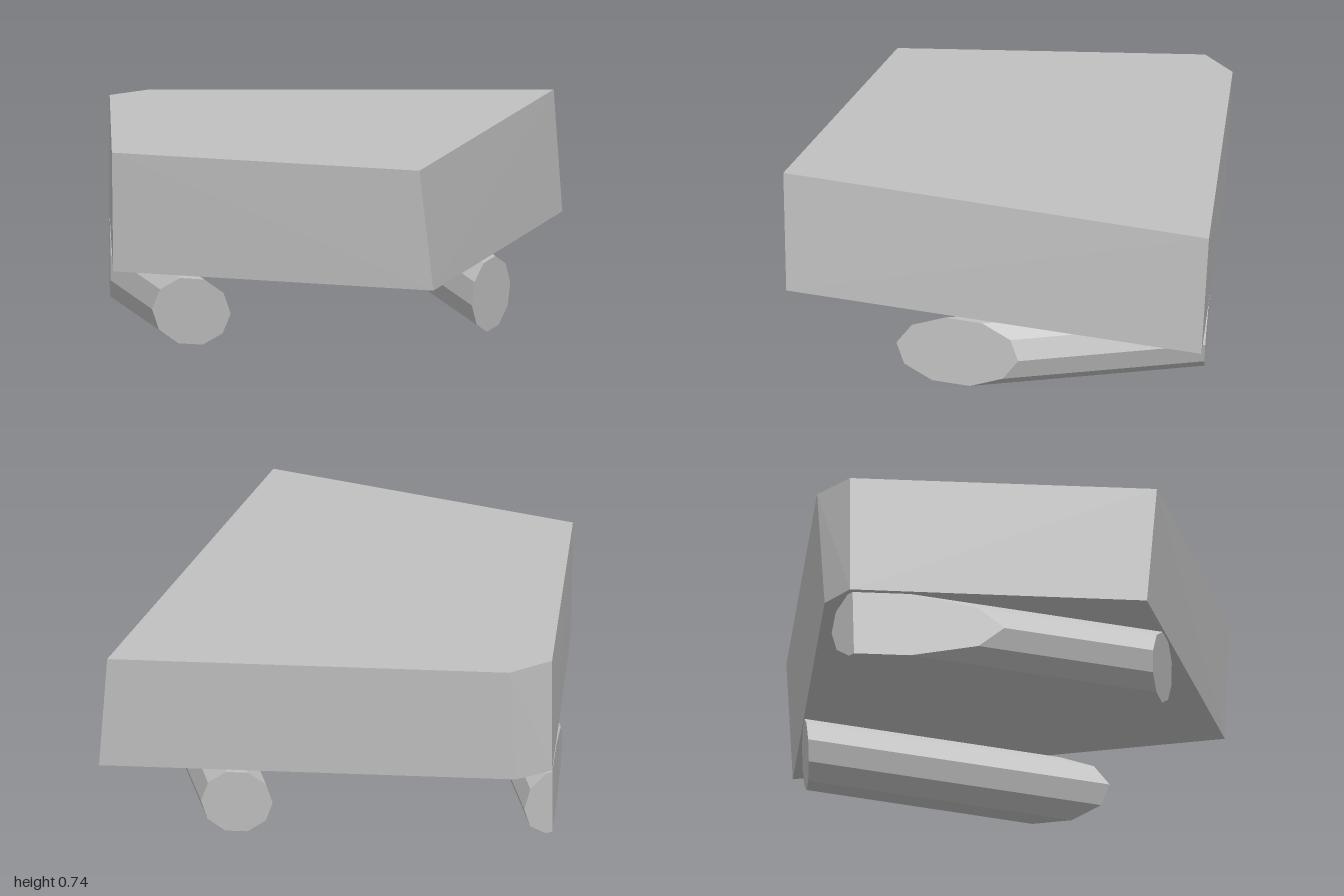
import * as THREE from 'three';
import { ConvexGeometry } from 'three/addons/geometries/ConvexGeometry.js';

const TOP_Y = 0.74, BOTTOM_Y = 0.27;
// outline corners (x, z), in order: left, front, right, back, chamfer
const TOP = [[-1, 0.27], [0.04, 0.935], [0.97, -0.535], [-0.52, -0.94], [-0.7, -0.87]];
const BOTTOM = [[-0.985, 0.235], [0.095, 0.935], [0.995, -0.5], [-0.55, -0.92], [-0.7, -0.87]];

const lift = (outline, y) => outline.map(([x, z]) => new THREE.Vector3(x, y, z));

export function createModel() {
  const group = new THREE.Group();
  const grey = new THREE.MeshStandardMaterial({ color: 0xc0c0c0 });
  const top = lift(TOP, TOP_Y), bottom = lift(BOTTOM, BOTTOM_Y);

  const add = (name, points) => {
    const mesh = new THREE.Mesh(new ConvexGeometry(points), grey);
    mesh.name = name;
    group.add(mesh);
  };

  // tapered block
  add('block', [...top, ...bottom]);

  // each side plane of the block, continued downwards, gives z at (x, y)
  const sides = top.map((p, i) => {
    const plane = new THREE.Plane().setFromCoplanarPoints(p, top[(i + 1) % 5], bottom[i]);
    const n = plane.normal;
    return (x, y) => -(n.x * x + n.y * y + plane.constant) / n.z;
  });
  const [frontLeft, frontRight, back, chamfer, leftSide] = sides;

  // ten-sided rail cut off by the block's side planes
  const railSection = (cx) => Array.from({ length: 10 }, (_, i) => {
    const a = (i * Math.PI) / 5;
    return [cx + 0.133 * Math.cos(a), 0.13 + 0.136 * Math.sin(a)];
  });
  const rail = (name, cx, zFront, zBack, extra = []) => {
    const points = railSection(cx).flatMap(([x, y]) => [
      new THREE.Vector3(x, y, zFront(x, y)),
      new THREE.Vector3(x, y, zBack(x, y)),
    ]);
    add(name, [...points, ...extra]);
  };

  rail('leftRail', 0.483, frontRight, back);

  // the other rail ends in a ridge where two side planes meet
  const ridge = [2, 7].map((i) => {
    const y = railSection(-0.718)[i][1];
    const gap = (x) => leftSide(x, y) - chamfer(x, y);
    const x = -0.8 + (0.2 * gap(-0.8)) / (gap(-0.8) - gap(-0.6));
    return new THREE.Vector3(x, y, chamfer(x, y));
  });
  rail('rightRail', -0.718, frontLeft,
    (x, y) => Math.max(leftSide(x, y), chamfer(x, y)), ridge);

  return group;
}
